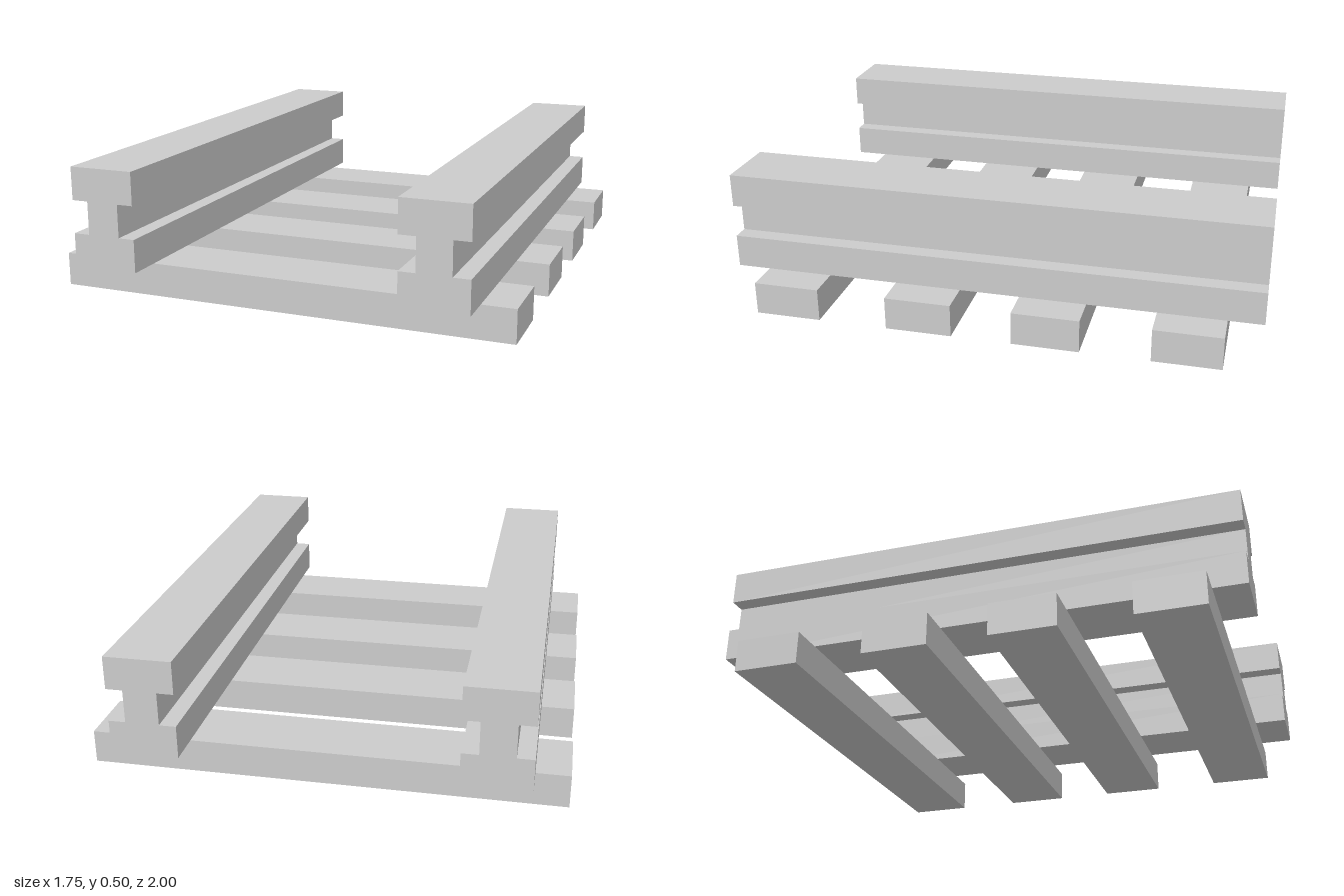
import * as THREE from 'three';

const material = new THREE.MeshStandardMaterial({ color: 0xcccccc, flatShading: true });

// I-shaped rail section, extruded along z
function railGeometry() {
  const flange = 0.125, web = 0.0625;
  const right = [[flange, 0.125], [flange, 0.25], [web, 0.25], [web, 0.375], [flange, 0.375], [flange, 0.5]];
  const left = right.map(([x, y]) => [-x, y]).reverse();
  const shape = new THREE.Shape([...right, ...left].map(([x, y]) => new THREE.Vector2(x, y)));
  const geometry = new THREE.ExtrudeGeometry(shape, { depth: 2, bevelEnabled: false });
  geometry.translate(0, 0, -1);
  return geometry;
}

export function createModel() {
  const track = new THREE.Group();
  track.name = 'railwayTrack';

  // Pair of rails
  const rail = railGeometry();
  for (const [name, x] of [['leftRail', 0.625], ['rightRail', -0.625]]) {
    const mesh = new THREE.Mesh(rail, material);
    mesh.name = name;
    mesh.position.x = x;
    track.add(mesh);
  }

  // Cross ties under the rails, front to back
  const tie = new THREE.BoxGeometry(1.75, 0.125, 0.25);
  [0.75, 0.237, -0.239, -0.745].forEach((z, i) => {
    const mesh = new THREE.Mesh(tie, material);
    mesh.name = `crossTie${i + 1}`;
    mesh.position.set(0, 0.0625, z);
    track.add(mesh);
  });

  return track;
}
